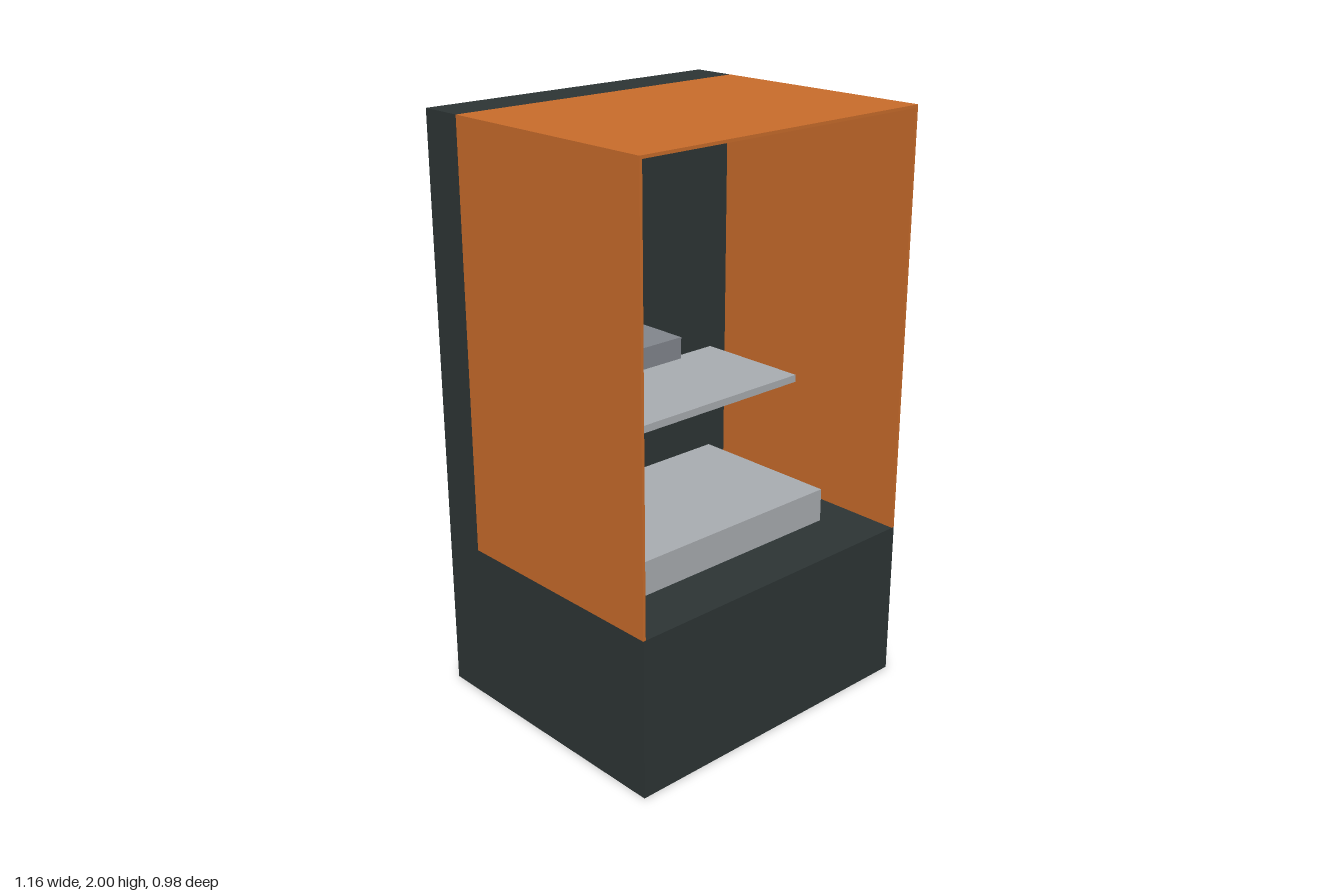
import * as THREE from 'three';

export function createModel() {
  const group = new THREE.Group();
  const material = (name, color) => {
    const m = new THREE.MeshStandardMaterial({ color });
    m.name = name;
    return m;
  };
  const charcoal = material('charcoal', 0x2d3535);
  const orange = material('orange', 0xc96c2b);
  const silver = material('silver', 0xa9adb1);
  const steel = material('steel grey', 0x82868d);

  // Box given by its minimum and maximum corners
  const block = (name, mat, [x0, y0, z0], [x1, y1, z1]) => {
    const mesh = new THREE.Mesh(new THREE.BoxGeometry(x1 - x0, y1 - y0, z1 - z0), mat);
    mesh.position.set((x0 + x1) / 2, (y0 + y1) / 2, (z0 + z1) / 2);
    mesh.name = name;
    group.add(mesh);
  };

  const W = 0.578, D = 0.492, H = 2, baseTop = 0.552, backZ = -0.335, wall = 0.01;

  // Housing: base and upright back panel
  block('base', charcoal, [-W, 0, -D], [W, baseTop, D]);
  block('backPanel', charcoal, [-W, baseTop, -D], [W, H, backZ]);

  // Thin cover, open at the front
  block('coverRoof', orange, [-W, H - wall, backZ], [W, H, D]);
  block('coverLeft', orange, [W - wall, baseTop, backZ], [W, H - wall, D]);
  block('coverRight', orange, [-W, baseTop, backZ], [-W + wall, H - wall, D]);

  // Mechanism inside
  block('vat', silver, [-0.432, baseTop, -0.275], [0.432, 0.67, 0.283]);
  block('column', steel, [-0.077, baseTop, backZ], [0.077, 1.947, -0.257]);
  block('carriage', steel, [-0.156, 1.108, -0.334], [0.156, 1.184, -0.13]);
  block('buildPlate', silver, [-0.368, 1.06, -0.206], [0.368, 1.085, 0.206]);

  return group;
}
